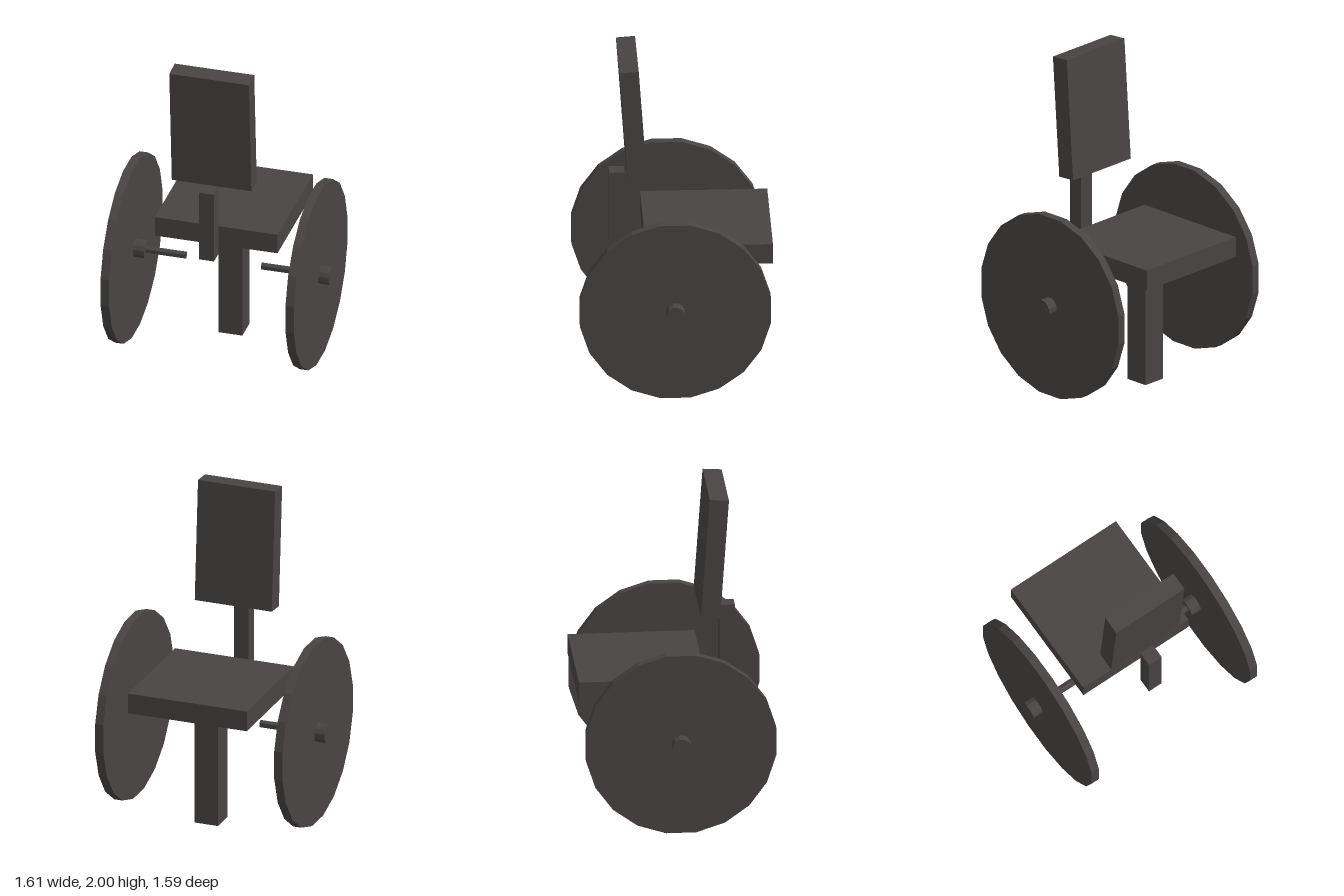
import * as THREE from 'three';

export function createModel() {
  const darkGrey = new THREE.MeshStandardMaterial({ color: 0x484443 });
  darkGrey.name = 'dark warm grey';
  darkGrey.flatShading = true;

  const model = new THREE.Group();
  model.name = 'wheeledChair';
  // the whole chair stands turned on its vertical axis
  const chair = new THREE.Group();
  chair.name = 'chair';
  chair.rotation.y = -Math.PI / 6;
  model.add(chair);

  const add = (name, geometry, x, y, z) => {
    const mesh = new THREE.Mesh(geometry, darkGrey);
    mesh.name = name;
    mesh.position.set(x, y, z);
    chair.add(mesh);
    return mesh;
  };
  // cylinder lying along the axle direction, with a flat facet on top
  const disc = (radius, length, sides) =>
    new THREE.CylinderGeometry(radius, radius, length, sides)
      .rotateY(Math.PI / sides).rotateZ(Math.PI / 2);

  // seat, central leg and rear post
  add('seat', new THREE.BoxGeometry(0.763, 0.127, 0.76), 0, 0.842, -0.213);
  add('centralLeg', new THREE.BoxGeometry(0.15, 0.78, 0.15), 0, 0.39, -0.21);
  add('backPost', new THREE.BoxGeometry(0.092, 0.457, 0.092), 0, 1.0085, 0.325);

  // backrest, leaning slightly
  const backrest = add('backrest', new THREE.BoxGeometry(0.495, 0.758, 0.115), 0, 1.618, 0.234);
  backrest.rotation.x = THREE.MathUtils.degToRad(4);

  // wheels with hubs and short axle stubs
  for (const [side, s] of [['left', 1], ['right', -1]]) {
    add(side + 'Wheel', disc(0.577, 0.053, 20), s * 0.575, 0.575, 0);
    add(side + 'Hub', disc(0.057, 0.185, 12), s * 0.575, 0.577, 0);
    add(side + 'AxleStub', disc(0.024, 0.29, 6), s * 0.38, 0.577, 0);
  }
  return model;
}
